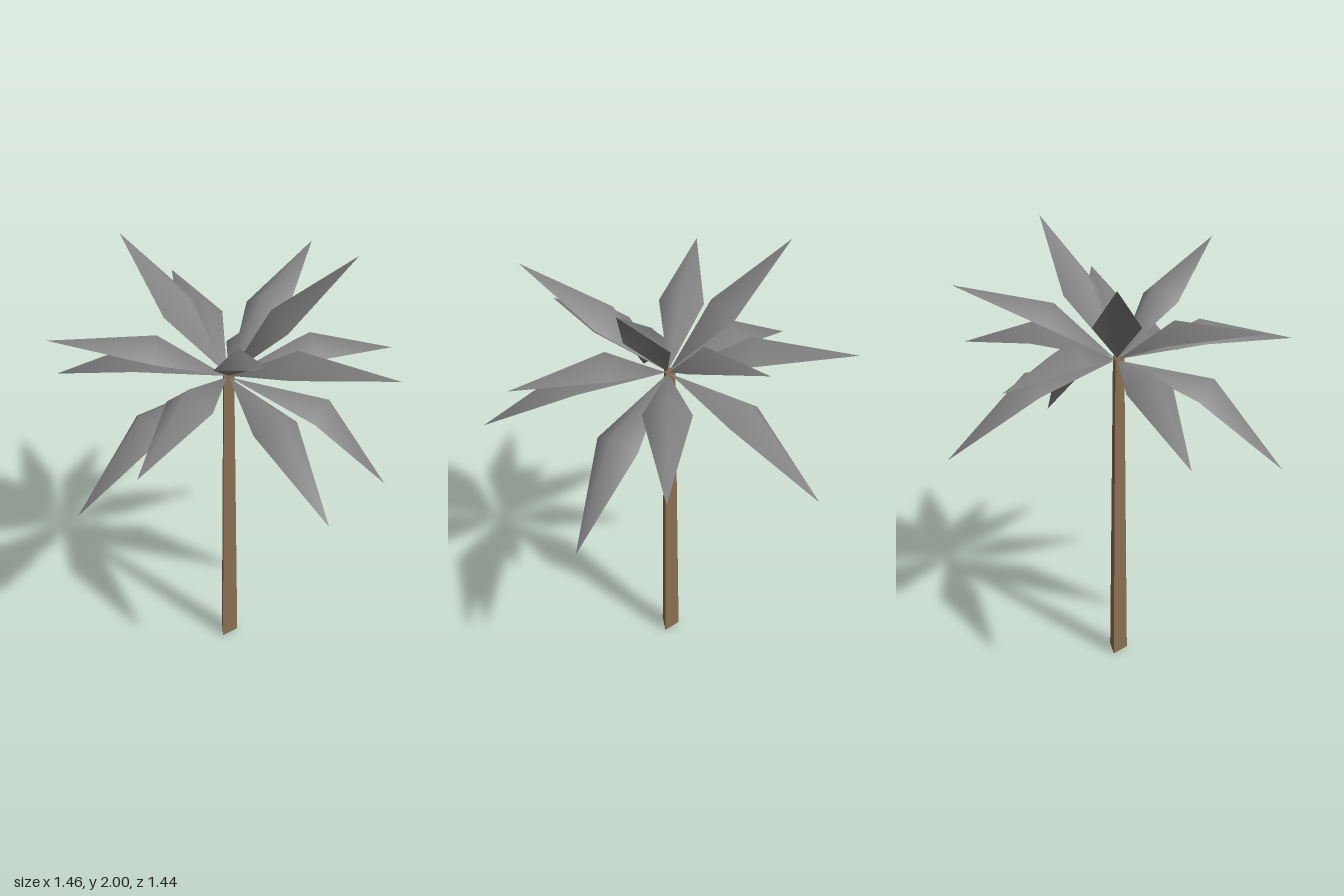
import * as THREE from 'three';

const bark = new THREE.MeshStandardMaterial({ color: 0x8b6f53 });
bark.name = 'brown bark';
bark.flatShading = true;
const leaf = new THREE.MeshStandardMaterial({ color: 0x808080, side: THREE.DoubleSide });
leaf.name = 'grey frond';

// Point the fronds radiate from
const CROWN = new THREE.Vector3(-0.003, 1.485, 0.018);

// Tip of each frond
const TIPS = [
  [-0.21, 1.60, -0.72], [0.22, 1.17, -0.70], [0.395, 1.82, -0.51], [0.73, 1.43, -0.25],
  [0.495, 2.00, 0.02], [0.66, 1.00, 0.16], [0.61, 1.68, 0.41], [0.32, 1.26, 0.72],
  [0.05, 1.89, 0.63], [-0.37, 1.51, 0.71], [-0.63, 1.08, 0.38], [-0.70, 1.75, 0.14],
  [-0.73, 1.34, -0.28], [-0.42, 1.95, -0.36],
];

// Kite-shaped blade with a raised middle; low fronds arch more than high ones
function makeFrond(tipPoint, i) {
  const tip = new THREE.Vector3(...tipPoint);
  const axis = tip.clone().sub(CROWN).normalize();
  const side = new THREE.Vector3(-axis.z, 0, axis.x).normalize();
  const up = side.clone().cross(axis);
  const arch = 0.138 - 0.066 * Math.asin(axis.y);

  const base = CROWN.clone().addScaledVector(axis, 0.012);
  const middle = CROWN.clone().lerp(tip, 0.46);
  const ridge = middle.clone().addScaledVector(up, arch);
  const rim = middle.clone().addScaledVector(up, arch - 0.08);
  const right = rim.clone().addScaledVector(side, 0.097);
  const left = rim.clone().addScaledVector(side, -0.097);

  const geo = new THREE.BufferGeometry().setFromPoints([base, right, tip, left, ridge]);
  geo.setIndex([0, 1, 4, 1, 2, 4, 2, 3, 4, 3, 0, 4]);
  geo.computeVertexNormals();
  const mesh = new THREE.Mesh(geo, leaf);
  mesh.name = 'frond' + (i + 1);
  return mesh;
}

export function createModel() {
  const model = new THREE.Group();
  model.name = 'palmTree';

  // Tapered three-sided trunk with one edge towards +x
  const trunk = new THREE.Mesh(
    new THREE.CylinderGeometry(0.029, 0.049, 1.495, 3, 1, false, Math.PI / 2), bark);
  trunk.name = 'trunk';
  trunk.position.set(-0.007, 1.495 / 2, 0.018);
  model.add(trunk);

  // Crown of fronds
  const crown = new THREE.Group();
  crown.name = 'crown';
  TIPS.forEach((tip, i) => crown.add(makeFrond(tip, i)));
  model.add(crown);
  return model;
}
